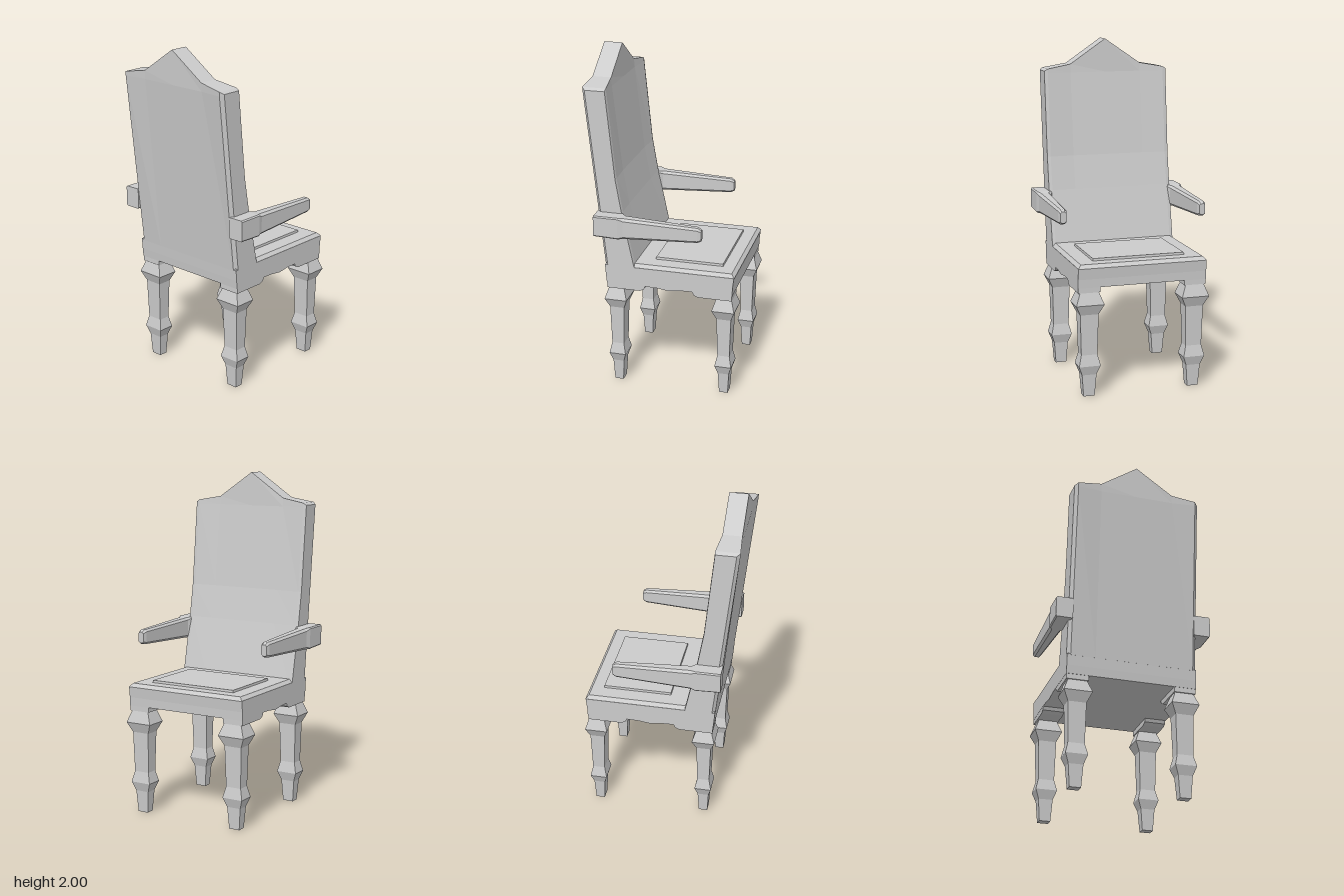
import * as THREE from 'three';

const material = new THREE.MeshStandardMaterial({ color: 0xcccccc, flatShading: true });

function mesh(name, geometry) {
  const m = new THREE.Mesh(geometry, material);
  m.name = name;
  return m;
}

// Joins equal-sized rings of [x, y, z] points into a closed, faceted solid.
// Rings run counter-clockwise when seen from the end of the loft.
function loft(rings) {
  const pos = [];
  const n = rings[0].length;
  const tri = (a, b, c) => pos.push(...a, ...b, ...c);
  for (let r = 0; r < rings.length - 1; r++) {
    for (let i = 0; i < n; i++) {
      const j = (i + 1) % n;
      const a = rings[r], b = rings[r + 1];
      tri(a[i], a[j], b[j]);
      tri(a[i], b[j], b[i]);
    }
  }
  const first = rings[0], last = rings[rings.length - 1];
  for (let i = 1; i < n - 1; i++) {
    tri(first[0], first[i + 1], first[i]);
    tri(last[0], last[i], last[i + 1]);
  }
  const g = new THREE.BufferGeometry();
  g.setAttribute('position', new THREE.Float32BufferAttribute(pos, 3));
  g.computeVertexNormals();
  return g;
}

// Horizontal rectangle at height y
const rect = (x0, x1, z, y) => [[x1, y, z], [x1, y, -z], [x0, y, -z], [x0, y, z]];

// Linear interpolation in [key, value] pairs, clamped at both ends
function lerpTable(table, k) {
  for (let i = 1; i < table.length; i++) {
    const [k0, v0] = table[i - 1], [k1, v1] = table[i];
    if (k <= k1) return v0 + (v1 - v0) * Math.max(0, (k - k0) / (k1 - k0));
  }
  return table[table.length - 1][1];
}

// Square turned leg: [y, half width in x, half width in z]
function legGeometry() {
  const profile = [
    [0, 0.026, 0.033], [0.13, 0.033, 0.043], [0.185, 0.05, 0.064], [0.25, 0.036, 0.048],
    [0.49, 0.043, 0.054], [0.55, 0.067, 0.083], [0.625, 0.044, 0.054],
  ];
  return loft(profile.map(([y, w, d]) => rect(-w, w, d, y)));
}

// Apron with a wavy lower edge
function apronGeometry() {
  const shape = new THREE.Shape([
    [-0.325, 0.65], [-0.09, 0.652], [-0.02, 0.65], [0.05, 0.64], [0.12, 0.65],
    [0.19, 0.652], [0.428, 0.65], [0.43, 0.7], [0.437, 0.765], [-0.335, 0.765], [-0.33, 0.7],
  ].map(([x, y]) => new THREE.Vector2(x, y)));
  const g = new THREE.ExtrudeGeometry(shape, { depth: 0.77, bevelEnabled: false });
  return g.translate(0, 0, -0.385);
}

// Small corner bracket below the apron, tapering towards the middle
function bracketGeometry(outer, inner) {
  const dir = Math.sign(inner - outer);
  const shape = new THREE.Shape([
    [outer, 0.655], [outer, 0.62], [inner - dir * 0.035, 0.62], [inner - dir * 0.01, 0.632], [inner, 0.655],
  ].map(([x, y]) => new THREE.Vector2(x, y)));
  return new THREE.ExtrudeGeometry(shape, { depth: 0.13, bevelEnabled: false });
}

// Tall leaning back, lofted across z, hollowed a little towards the middle
function backGeometry() {
  const front = [[0.76, -0.153], [1.1, -0.225], [1.3, -0.26], [1.82, -0.313], [1.85, -0.315]];
  const rear = [[0.76, -0.335], [1.8, -0.45], [1.85, -0.453]];
  const top = [[0, 2], [0.22, 1.85], [0.365, 1.825], [0.385, 1.812]];
  const hollow = [[0.22, 0.014], [0.365, 0]];
  const bevel = [[0.365, 0], [0.385, 0.018]];
  const rings = [-0.385, -0.365, -0.22, 0, 0.22, 0.365, 0.385].map((z) => {
    const a = Math.abs(z), t = lerpTable(top, a);
    const dent = (y) => lerpTable(hollow, a) * Math.min(1, (y - 0.76) / 1.05);
    const f = (y) => [lerpTable(front, y) - dent(y) - lerpTable(bevel, a) * 0.2, y, z];
    const b = (y) => [lerpTable(rear, y) + dent(y) + lerpTable(bevel, a), y, z];
    return [b(0.76), f(0.76), f(1.1), f(1.3), f(1.8), f(t), b(t), b(1.8)];
  });
  return loft(rings);
}

// Armrest with chamfered section: [x, yLow, yHigh, zInner, zOuter, chamfer]
function armGeometry(side) {
  const sections = [
    [-0.375, 0.97, 1.095, 0.365, 0.465, 0.007],
    [-0.23, 0.965, 1.095, 0.365, 0.465, 0.007],
    [-0.2, 0.965, 1.09, 0.383, 0.457, 0.014],
    [0.235, 0.985, 1.073, 0.398, 0.447, 0.012],
    [0.256, 0.995, 1.06, 0.405, 0.44, 0.009],
  ];
  return loft(sections.map(([x, y0, y1, z0, z1, c]) => {
    const ring = [
      [y0 + c, z0], [y1 - c, z0], [y1, z0 + c], [y1, z1 - c],
      [y1 - c, z1], [y0 + c, z1], [y0, z1 - c], [y0, z0 + c],
    ].map(([y, z]) => [x, y, side * z]);
    return side > 0 ? ring : ring.reverse();
  }));
}

export function createModel() {
  const group = new THREE.Group();
  group.name = 'armchair';

  // Seat
  group.add(mesh('apron', apronGeometry()));
  group.add(mesh('seatTop', loft([
    rect(-0.335, 0.439, 0.385, 0.764), rect(-0.32, 0.42, 0.366, 0.785),
  ])));
  group.add(mesh('seatPanel', loft([
    rect(-0.056, 0.35, 0.277, 0.78), rect(-0.054, 0.348, 0.275, 0.799),
  ])));

  // Back
  group.add(mesh('backrest', backGeometry()));

  // Arms, legs and brackets on both sides
  for (const side of [1, -1]) {
    group.add(mesh(side > 0 ? 'leftArm' : 'rightArm', armGeometry(side)));
    for (const [end, x, outer, inner] of [['rear', -0.27, -0.323, -0.09], ['front', 0.378, 0.426, 0.19]]) {
      const leg = mesh(end + 'Leg', legGeometry());
      leg.position.set(x, 0, side * 0.317);
      group.add(leg);
      const bracket = mesh(end + 'Bracket', bracketGeometry(outer, inner));
      bracket.position.z = side > 0 ? 0.254 : -0.384;
      group.add(bracket);
    }
  }
  return group;
}
